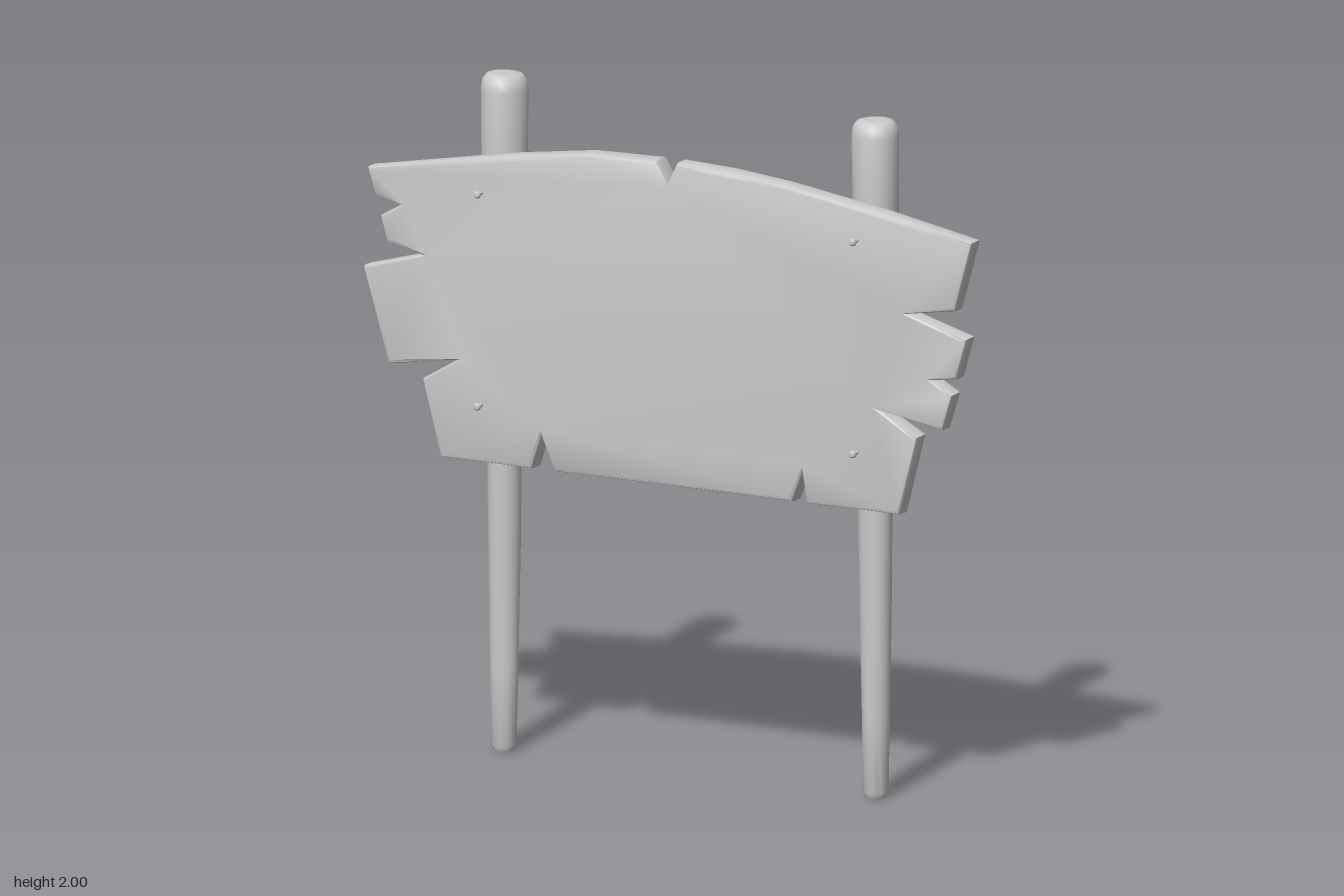
import * as THREE from 'three';
import { toCreasedNormals } from 'three/addons/utils/BufferGeometryUtils.js';

const material = new THREE.MeshStandardMaterial({ color: 0xcccccc });

function addMesh(parent, name, geometry, x = 0, y = 0, z = 0) {
  const mesh = new THREE.Mesh(geometry, material);
  mesh.name = name;
  mesh.position.set(x, y, z);
  parent.add(mesh);
  return mesh;
}

// Board outline, clockwise from the notch in the top edge
const outline = [
  [0, 1.767], [0.03, 1.83], [0.2, 1.823], [0.38, 1.805], [0.7, 1.757], [0.987, 1.703],
  [0.93, 1.495], [0.775, 1.47], [0.97, 1.417], [0.935, 1.295], [0.855, 1.283],
  [0.923, 1.247], [0.89, 1.14], [0.68, 1.178], [0.81, 1.11], [0.75, 0.875],
  [0.45, 0.875], [0.437, 0.965], [0.405, 0.875], [-0.368, 0.875], [-0.41, 0.976],
  [-0.44, 0.875], [-0.738, 0.875], [-0.797, 1.1], [-0.685, 1.167], [-0.907, 1.13],
  [-0.99, 1.41], [-0.797, 1.464], [-0.913, 1.49], [-0.934, 1.565], [-0.87, 1.602],
  [-0.95, 1.623], [-0.976, 1.703], [-0.52, 1.788], [-0.257, 1.825], [-0.035, 1.83],
];

// Splintered plank with softened edges, a little thicker towards the middle
function boardGeometry() {
  const bevel = 0.012, depth = 0.06;
  const shape = new THREE.Shape(outline.map(([x, y]) => new THREE.Vector2(x, y)));
  const geo = new THREE.ExtrudeGeometry(shape, {
    depth: depth - 2 * bevel, bevelEnabled: true, bevelThickness: bevel,
    bevelSize: bevel, bevelOffset: -bevel, bevelSegments: 2,
  });
  geo.translate(0, 0, bevel - depth / 2);
  const p = geo.attributes.position;
  for (let i = 0; i < p.count; i++) {
    p.setZ(i, p.getZ(i) * (1.25 - 0.25 * Math.abs(p.getX(i))));
  }
  return toCreasedNormals(geo, 0.7);
}

// Tapered round post, thicker at the top, with a slightly uneven carved surface
function postGeometry(phase) {
  const profile = [
    [0, 0], [0.03, 0.003], [0.037, 0.018], [0.041, 0.25], [0.047, 0.6], [0.05, 0.87],
    [0.056, 1.15], [0.063, 1.45], [0.067, 1.75], [0.069, 1.95], [0.064, 1.98],
    [0.052, 1.994], [0.03, 1.999], [0, 1.992],
  ].map(([r, y]) => new THREE.Vector2(r, y));
  const geo = new THREE.LatheGeometry(profile, 20);
  const p = geo.attributes.position;
  for (let i = 0; i < p.count; i++) {
    const x = p.getX(i), y = p.getY(i), z = p.getZ(i);
    const k = 1 + 0.025 * Math.sin(3 * Math.atan2(z, x) + 5 * y + phase);
    p.setX(i, x * k);
    p.setZ(i, z * k);
  }
  return toCreasedNormals(geo, 0.9);
}

// Small nail with a domed head, pointing along +z
function nailGeometry() {
  const profile = [[0.006, -0.02], [0.006, 0.021], [0.011, 0.023], [0.011, 0.03], [0.007, 0.035], [0, 0.036]]
    .map(([r, y]) => new THREE.Vector2(r, y));
  return toCreasedNormals(new THREE.LatheGeometry(profile, 10).rotateX(Math.PI / 2), 0.8);
}

export function createModel() {
  const group = new THREE.Group();
  group.name = 'signboard';

  addMesh(group, 'board', boardGeometry(), 0, 0, 0.051);

  // Posts and their nails, one set on each side
  const nail = nailGeometry();
  [['right', -0.598, -0.603], ['left', 0.607, 0.615]].forEach(([side, postX, nailX], i) => {
    addMesh(group, side + 'Post', postGeometry(i * 2), postX, 0, -0.047);
    addMesh(group, side + 'UpperNail', nail, nailX, 1.67, 0.081);
    addMesh(group, side + 'LowerNail', nail, nailX, 1.045, 0.081);
  });

  return group;
}
